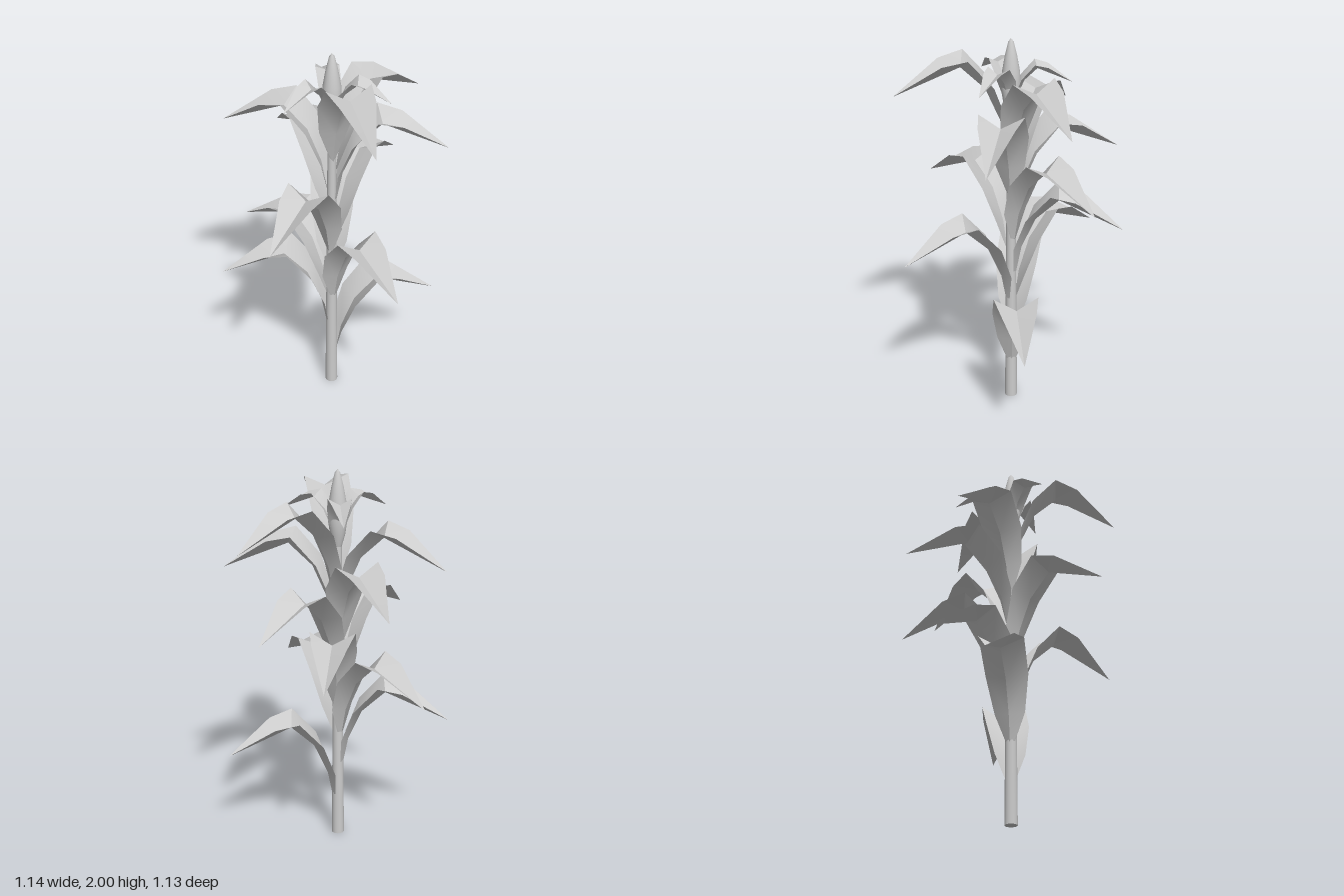
import * as THREE from 'three';
import { toCreasedNormals } from 'three/addons/utils/BufferGeometryUtils.js';

const CX = 0.01; // stalk axis

// Folded leaf pointing along +x: midrib and raised edges as [out, up, halfWidth]
const MID = [[0.022, 0], [0.055, 0.17], [0.128, 0.335], [0.25, 0.45]];
const EDGE = [[0.015, 0.01, 0.012], [0.03, 0.185, 0.078], [0.098, 0.365, 0.11], [0.225, 0.508, 0.115]];
const SHOULDER = [0.35, 0.477, 0.09];
const TIP = [0.583, 0.315];

function leafGeometry() {
  const pos = [];
  for (const s of [1, -1]) {
    const mid = ([r, y]) => [r, y, 0];
    const edge = ([r, y, w]) => [r, y, w * s];
    const tri = (a, b, c) => pos.push(...a, ...(s > 0 ? b : c), ...(s > 0 ? c : b));
    for (let i = 0; i < 3; i++) {
      tri(mid(MID[i]), edge(EDGE[i]), edge(EDGE[i + 1]));
      tri(mid(MID[i]), edge(EDGE[i + 1]), mid(MID[i + 1]));
    }
    // drooping blade end
    tri(mid(MID[3]), edge(EDGE[3]), edge(SHOULDER));
    tri(mid(MID[3]), edge(SHOULDER), mid(TIP));
  }
  const g = new THREE.BufferGeometry();
  g.setAttribute('position', new THREE.Float32BufferAttribute(pos, 3));
  g.computeVertexNormals();
  return toCreasedNormals(g, 0.55);
}

export function createModel() {
  const plant = new THREE.Group();
  plant.name = 'plant';
  const grey = new THREE.MeshStandardMaterial({ color: 0xcccccc, side: THREE.DoubleSide });
  grey.name = 'plain grey';

  // Stalk
  const stalk = new THREE.Mesh(new THREE.CylinderGeometry(0.02, 0.033, 1.7, 16), grey);
  stalk.name = 'stalk';
  stalk.position.set(CX, 0.85, 0);
  plant.add(stalk);

  // Flower bud on top
  const profile = [[0.018, 1.6], [0.038, 1.67], [0.05, 1.75], [0.045, 1.83], [0.031, 1.91], [0.014, 1.98], [0, 2]];
  const bud = new THREE.Mesh(new THREE.LatheGeometry(profile.map(([r, y]) => new THREE.Vector2(r, y)), 20), grey);
  bud.name = 'bud';
  bud.position.x = CX;
  plant.add(bud);

  const geometry = leafGeometry();
  function addLeaf(name, degrees, baseY, scale) {
    const leaf = new THREE.Mesh(geometry, grey);
    leaf.name = name;
    leaf.position.set(CX, baseY, 0);
    leaf.rotation.y = -THREE.MathUtils.degToRad(degrees);
    leaf.scale.setScalar(scale);
    plant.add(leaf);
  }

  // Large leaves: heading (from +x towards +z) and base height
  [
    [-36.7, 0.19], [165, 0.385], [37, 0.56], [198, 0.565], [-108, 0.72], [101.6, 0.855],
    [-74, 0.915], [221, 1.065], [-18.7, 1.17], [180, 1.23], [-59, 1.335], [51, 1.415],
  ].forEach(([a, y], i) => addLeaf('leaf' + (i + 1), a, y, 1));

  // Three small leaves around the bud
  for (let i = 0; i < 3; i++) addLeaf('topLeaf' + (i + 1), i * 120, 1.615, 0.52);

  return plant;
}
